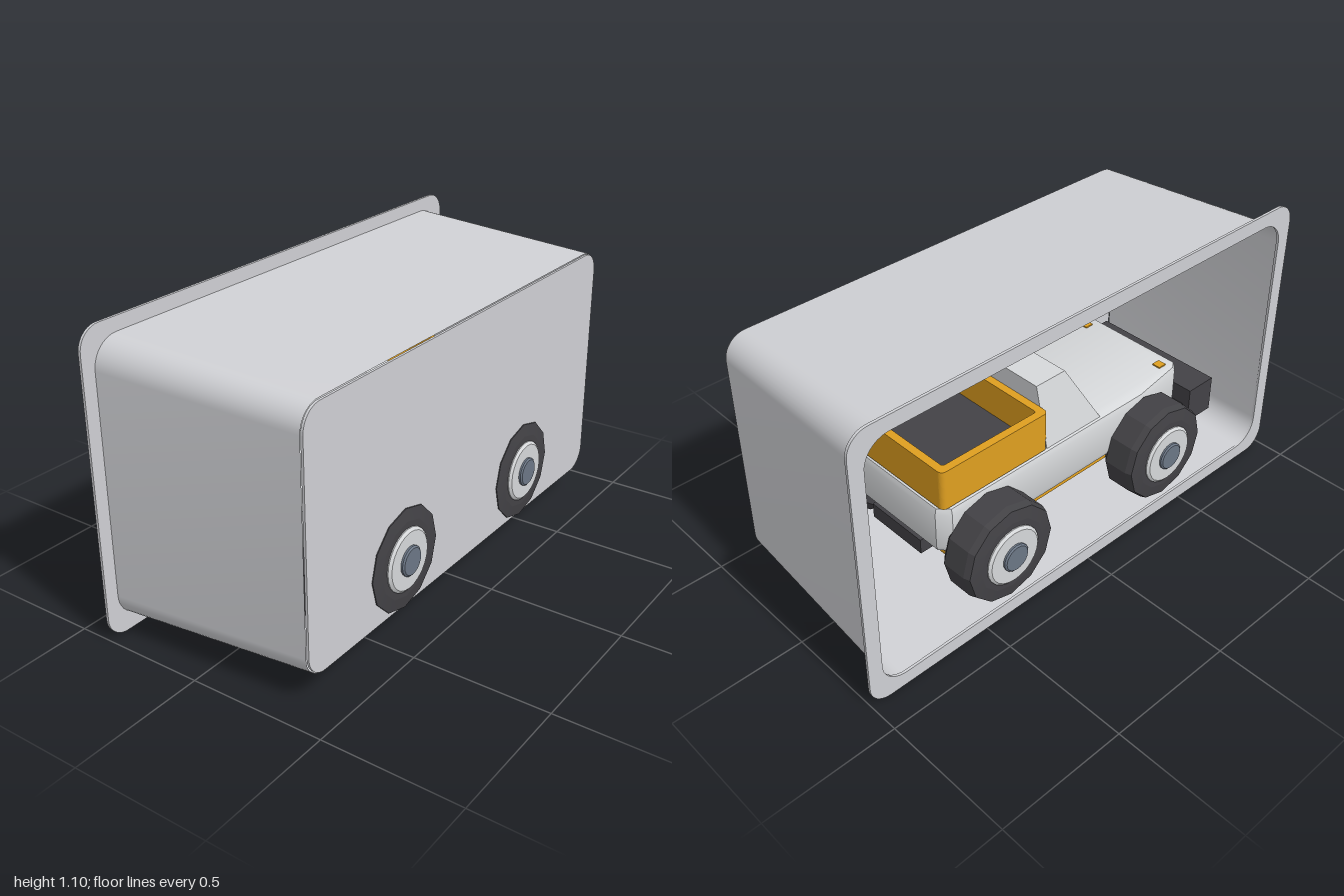
import * as THREE from 'three';
import { toCreasedNormals } from 'three/addons/utils/BufferGeometryUtils.js';

const paint = (name, color, side = THREE.FrontSide) => {
  const m = new THREE.MeshStandardMaterial({ color, side });
  m.name = name;
  return m;
};

// Rounded rectangle in the XY plane
function roundedRect(x0, y0, x1, y1, r, Type = THREE.Shape) {
  const s = new Type(), h = Math.PI / 2;
  s.absarc(x1 - r, y0 + r, r, -h, 0);
  s.absarc(x1 - r, y1 - r, r, 0, h);
  s.absarc(x0 + r, y1 - r, r, h, 2 * h);
  s.absarc(x0 + r, y0 + r, r, 2 * h, 3 * h);
  s.closePath();
  return s;
}

const slab = (shape, depth, z) =>
  new THREE.ExtrudeGeometry(shape, { depth, bevelEnabled: false, curveSegments: 5 }).translate(0, 0, z);

// Wall strip joining two outlines that have equal point counts
function loft(a, za, b, zb) {
  const pos = [], idx = [], n = a.length;
  a.forEach((p, i) => pos.push(p.x, p.y, za, b[i].x, b[i].y, zb));
  for (let i = 0; i < n; i++) {
    const p = 2 * i, q = 2 * ((i + 1) % n);
    idx.push(p, q, p + 1, q, q + 1, p + 1);
  }
  const g = new THREE.BufferGeometry();
  g.setAttribute('position', new THREE.Float32BufferAttribute(pos, 3));
  g.setIndex(idx);
  return toCreasedNormals(g, 0.2);
}

// Faceted disc-like part turned around the z axis
function turned(profile, sides, crease) {
  const g = new THREE.LatheGeometry(profile.map(p => new THREE.Vector2(...p)), sides).rotateX(Math.PI / 2);
  return toCreasedNormals(g, crease);
}

export function createModel() {
  const root = new THREE.Group();
  const trayGrey = paint('trayGrey', 0xcfd0d4, THREE.DoubleSide);
  const bodyGrey = paint('bodyGrey', 0xd6d8da);
  const amber = paint('amber', 0xdf9f20);
  const black = paint('black', 0x434246);
  const steel = paint('steel', 0x6b7685);

  const add = (parent, name, geo, mat, x = 0, y = 0, z = 0) => {
    const m = new THREE.Mesh(geo, mat);
    m.name = name;
    m.position.set(x, y, z);
    parent.add(m);
    return m;
  };
  const box = (w, h, d) => new THREE.BoxGeometry(w, h, d);

  // Tray: flared walls, closed front, flange round the open back
  const tray = new THREE.Group();
  tray.name = 'tray';
  root.add(tray);
  const rear = roundedRect(-0.95, 0.05, 0.95, 1.05, 0.1);
  const front = roundedRect(-0.908, 0.095, 0.908, 1.008, 0.085);
  const outline = s => s.getPoints(5).slice(0, -1);
  add(tray, 'trayWalls', loft(outline(rear), -0.38, outline(front), 0.38), trayGrey);
  add(tray, 'trayFront', slab(roundedRect(-0.903, 0.1, 0.903, 1.003, 0.08), 0.009, 0.378), trayGrey);
  const rim = roundedRect(-1, 0, 1, 1.1, 0.08);
  rim.holes.push(roundedRect(-0.945, 0.055, 0.945, 1.045, 0.095, THREE.Path));
  add(tray, 'trayFlange', slab(rim, 0.01, -0.385), trayGrey);

  // Truck, nose towards -x
  const truck = new THREE.Group();
  truck.name = 'truck';
  root.add(truck);

  // Lower body: tapered plan with bevelled edges
  const plan = new THREE.Shape([
    [-0.63, -0.21], [-0.6, -0.235], [-0.38, -0.27], [0.54, -0.27], [0.58, -0.23],
    [0.58, 0.23], [0.54, 0.27], [-0.38, 0.27], [-0.6, 0.235], [-0.63, 0.21],
  ].map(p => new THREE.Vector2(...p)));
  const body = new THREE.ExtrudeGeometry(plan, {
    depth: 0.14, bevelThickness: 0.03, bevelSize: 0.025, bevelOffset: -0.025, bevelSegments: 2,
  }).rotateX(-Math.PI / 2);
  add(truck, 'lowerBody', toCreasedNormals(body, 0.5), bodyGrey, 0, 0.325, 0);

  // Cab: box narrowed upwards with a raked windscreen
  const cab = box(1, 1, 1), cp = cab.attributes.position;
  for (let i = 0; i < cp.count; i++) {
    const top = cp.getY(i) > 0;
    const x = cp.getX(i) > 0 ? 0.095 : top ? -0.04 : -0.17;
    cp.setXYZ(i, x, top ? 0.725 : 0.49, Math.sign(cp.getZ(i)) * (top ? 0.2 : 0.255));
  }
  cab.computeVertexNormals();
  add(truck, 'cab', cab, bodyGrey);

  // Cargo bed: open frame with a dark floor
  const bed = roundedRect(0.095, -0.26, 0.57, 0.26, 0.02);
  bed.holes.push(roundedRect(0.125, -0.23, 0.54, 0.23, 0.01, THREE.Path));
  add(truck, 'bedSides', slab(bed, 0.155, 0).rotateX(-Math.PI / 2), amber, 0, 0.495, 0);
  add(truck, 'bedFloor', box(0.43, 0.02, 0.48), black, 0.333, 0.508, 0);

  // Underside, bumper and lamps
  add(truck, 'sill', box(1.1, 0.025, 0.5), amber, 0.0, 0.288, 0);
  add(truck, 'chassis', box(1.2, 0.06, 0.26), black, -0.03, 0.25, 0);
  add(truck, 'bumper', box(0.13, 0.145, 0.56), black, -0.715, 0.302, 0);
  for (const s of [-1, 1]) {
    add(truck, 'bumperBracket', box(0.08, 0.06, 0.06), black, -0.63, 0.27, s * 0.22);
    add(truck, 'lamp', box(0.035, 0.008, 0.035), amber, -0.56, 0.496, s * 0.19);
  }

  // Wheels on two axles
  const tyre = turned([[0.1, 0.24], [0.165, 0.24], [0.194, 0.27], [0.194, 0.365], [0.186, 0.39], [0.14, 0.396], [0.1, 0.396]], 12, 0.1);
  const hub = turned([[0, 0.25], [0.115, 0.25], [0.115, 0.4], [0.105, 0.408], [0, 0.408]], 24, 0.5);
  const cap = turned([[0.054, 0.4], [0.054, 0.415], [0.048, 0.42], [0, 0.42]], 20, 0.5);
  for (const x of [-0.39, 0.39]) {
    add(truck, 'axle', new THREE.CylinderGeometry(0.045, 0.045, 0.52, 12).rotateX(Math.PI / 2), black, x, 0.28, 0);
    for (const turn of [0, Math.PI]) {
      const wheel = new THREE.Group();
      wheel.name = 'wheel';
      wheel.position.set(x, 0.28, 0);
      wheel.rotation.y = turn;
      add(wheel, 'tyre', tyre, black);
      add(wheel, 'hub', hub, bodyGrey);
      add(wheel, 'hubCap', cap, steel);
      truck.add(wheel);
    }
  }
  return root;
}
